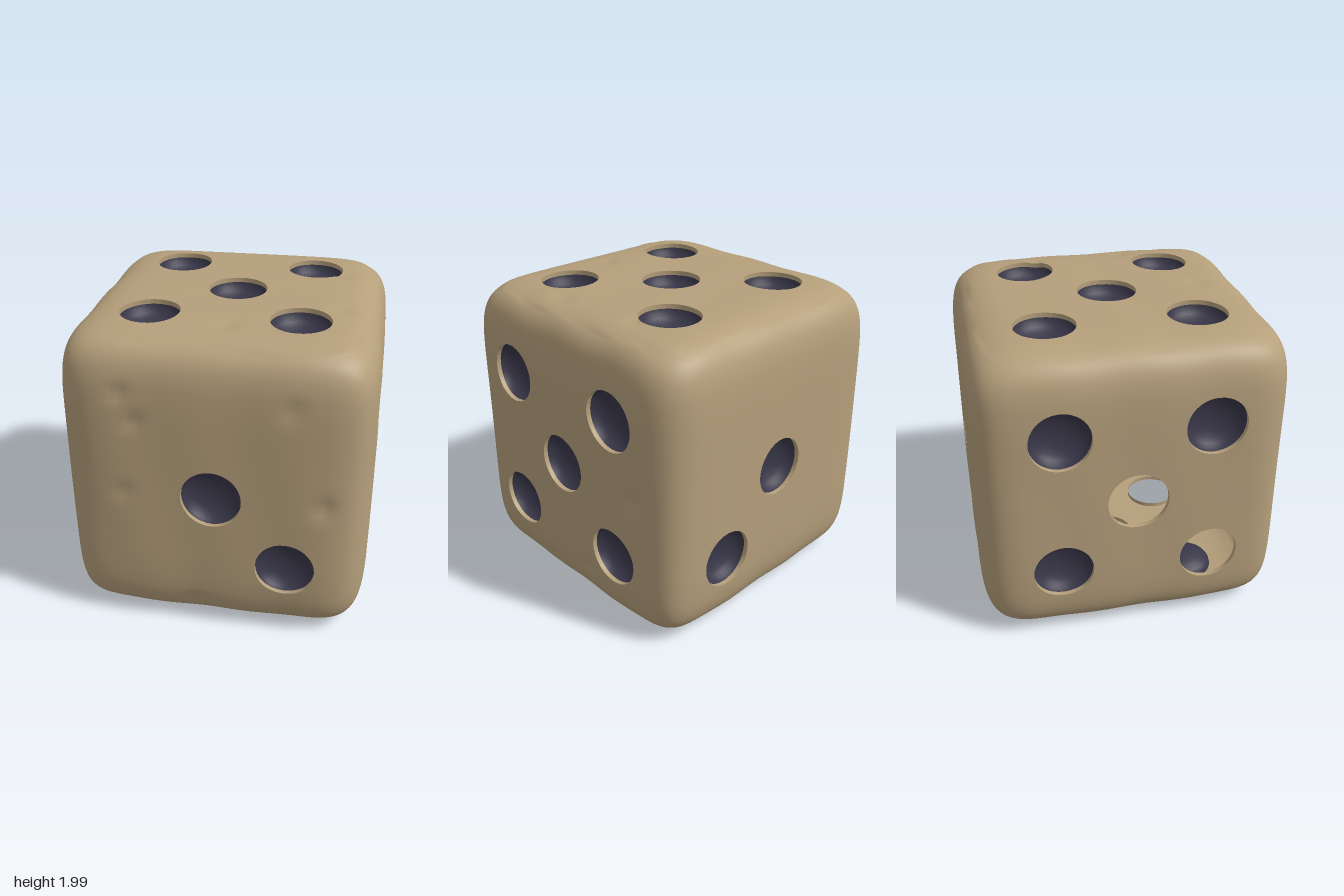
import * as THREE from 'three';
import { mergeVertices } from 'three/addons/utils/BufferGeometryUtils.js';

const POWER = 8;                       // squareness of the rounded cube
const SIZE = new THREE.Vector3(0.965, 0.995, 0.985);
const STEPS = 10;                      // divisions per grid block
const BREAKS = [-1, -0.72, -0.24, 0.24, 0.72, 1];
const PITCH = 0.48, PIP = 0.195, RIM = 0.03, BOWL = 0.1;

const five = [[0, 0], [-1, -1], [1, -1], [-1, 1], [1, 1]];
// each face: right axis, up axis, pips, and pips that are open holes
const faces = [
  { name: 'front', u: [1, 0, 0], v: [0, 1, 0], pips: [[0, 0], [1, -1]], open: [] },
  { name: 'back', u: [-1, 0, 0], v: [0, 1, 0], pips: [[0, 0], [-1, -1]], open: [] },
  { name: 'right', u: [0, 0, -1], v: [0, 1, 0], pips: five, open: [] },
  { name: 'left', u: [0, 0, 1], v: [0, 1, 0], pips: five, open: [[0, 0], [1, -1]] },
  { name: 'top', u: [1, 0, 0], v: [0, 0, -1], pips: five, open: [] },
  { name: 'bottom', u: [1, 0, 0], v: [0, 0, 1], pips: five, open: [[0, 0], [1, 1], [-1, -1]] },
];

// small dents: x, y, z, radius, depth
const dents = [
  [-0.56, 0.68, 1, 0.07, 0.02], [-0.48, 0.5, 1, 0.07, 0.02], [0.5, 0.65, 1, 0.09, 0.015],
  [0.72, 0, 1, 0.09, 0.02], [-0.57, 0, 1, 0.07, 0.015], [-0.12, -0.84, 1, 0.09, 0.02],
  [1, 0, -0.68, 0.09, 0.02], [1, -0.82, 0.18, 0.08, 0.02], [1, -0.7, -0.2, 0.08, 0.015],
  [0.72, 1, 0.24, 0.1, 0.015], [0.03, 1, 0.62, 0.08, 0.015], [0.68, 1, -0.38, 0.07, 0.015],
];

// inward carving depth: long soft grain plus dents
function carve(p) {
  const across = Math.abs(p.y) > 0.95 ? p.z : p.x + p.z;
  const along = Math.abs(p.y) > 0.95 ? p.x : p.y;
  let d = 0.0025 * (1 + Math.sin(11 * across + 1.5 * Math.sin(2 * along)));
  for (const [x, y, z, r, depth] of dents) {
    const q = ((p.x - x) ** 2 + (p.y - y) ** 2 + (p.z - z) ** 2) / (r * r);
    d += depth * Math.exp(-2 * q);
  }
  return d;
}

// point of the rounded cube, from face coordinates
function surface(face, u, v) {
  const p = face.n.clone().addScaledVector(face.U, u).addScaledVector(face.V, v);
  const norm = [p.x, p.y, p.z].reduce((s, c) => s + Math.abs(c) ** POWER, 0) ** (1 / POWER);
  p.divideScalar(norm);
  return p.multiplyScalar(1 - carve(p)).multiply(SIZE).add(new THREE.Vector3(0, 1, 0));
}

function quad(out, a, b, c, d) {
  for (const p of [a, b, c, a, c, d]) out.push(p.x, p.y, p.z);
}

// joins loops of points, running from the inner loop to the outer
function joinLoops(out, inner, outer) {
  inner.forEach((p, k) => {
    const m = (k + 1) % inner.length;
    quad(out, p, outer[k], outer[m], inner[m]);
  });
}

function toMesh(positions, material, name) {
  const raw = new THREE.BufferGeometry();
  raw.setAttribute('position', new THREE.Float32BufferAttribute(positions, 3));
  const geometry = mergeVertices(raw, 1e-4);
  geometry.computeVertexNormals();
  const mesh = new THREE.Mesh(geometry, material);
  mesh.name = name;
  return mesh;
}

// perimeter of a unit square, anticlockwise
function squareLoop() {
  const pts = [];
  for (const [x, y, dx, dy] of [[-1, -1, 1, 0], [1, -1, 0, 1], [1, 1, -1, 0], [-1, 1, 0, -1]]) {
    for (let i = 0; i < STEPS; i++) pts.push([x + dx * 2 * i / STEPS, y + dy * 2 * i / STEPS]);
  }
  return pts;
}

export function createModel() {
  const model = new THREE.Group();
  model.name = 'die';
  const wood = new THREE.MeshStandardMaterial({ color: 0xb59f7b, side: THREE.DoubleSide });
  wood.name = 'tan wood';
  const paint = new THREE.MeshStandardMaterial({ color: 0x383648, side: THREE.DoubleSide });
  paint.name = 'dark pip paint';

  const body = [];
  const border = squareLoop();
  const has = (list, i, j) => list.some(([a, b]) => a === i && b === j);

  for (const face of faces) {
    face.U = new THREE.Vector3(...face.u);
    face.V = new THREE.Vector3(...face.v);
    face.n = face.U.clone().cross(face.V);
    const rims = [], bowls = [];

    for (let bi = 0; bi < 5; bi++) for (let bj = 0; bj < 5; bj++) {
      const i = bi - 2, j = bj - 2;
      if (!has(face.pips, i, j)) {
        // plain block of the skin
        const at = (b, s) => BREAKS[b] + (BREAKS[b + 1] - BREAKS[b]) * s / STEPS;
        for (let s = 0; s < STEPS; s++) for (let t = 0; t < STEPS; t++) {
          quad(body,
            surface(face, at(bi, s), at(bj, t)), surface(face, at(bi, s + 1), at(bj, t)),
            surface(face, at(bi, s + 1), at(bj, t + 1)), surface(face, at(bi, s), at(bj, t + 1)));
        }
        continue;
      }

      // block with a round hole
      const cu = i * PITCH, cv = j * PITCH;
      const ring = (f) => border.map(([x, y]) => {
        const r = PIP / Math.hypot(x, y), h = PITCH / 2;
        return surface(face,
          cu + THREE.MathUtils.lerp(x * r, x * h, f),
          cv + THREE.MathUtils.lerp(y * r, y * h, f));
      });
      const edge = ring(0), middle = ring(0.5);
      joinLoops(body, edge, middle);
      joinLoops(body, middle, ring(1));

      // short bare wall inside the hole
      const sink = (p, d) => p.clone().addScaledVector(face.n, -d);
      const wallEnd = edge.map((p) => sink(p, RIM));
      joinLoops(rims, wallEnd, edge);

      // painted bowl, left out of open holes
      if (has(face.open, i, j)) continue;
      const centre = sink(surface(face, cu, cv), RIM);
      let outer = wallEnd;
      for (let s = 1; s <= 6; s++) {
        const a = s / 6 * Math.PI / 2;
        const inner = wallEnd.map((p) =>
          sink(centre.clone().lerp(p, Math.max(Math.cos(a), 0.002)), BOWL * Math.sin(a)));
        joinLoops(bowls, inner, outer);
        outer = inner;
      }
    }
    model.add(toMesh(rims, wood, face.name + 'PipRims'));
    model.add(toMesh(bowls, paint, face.name + 'Pips'));
  }
  model.add(toMesh(body, wood, 'body'));
  return model;
}
